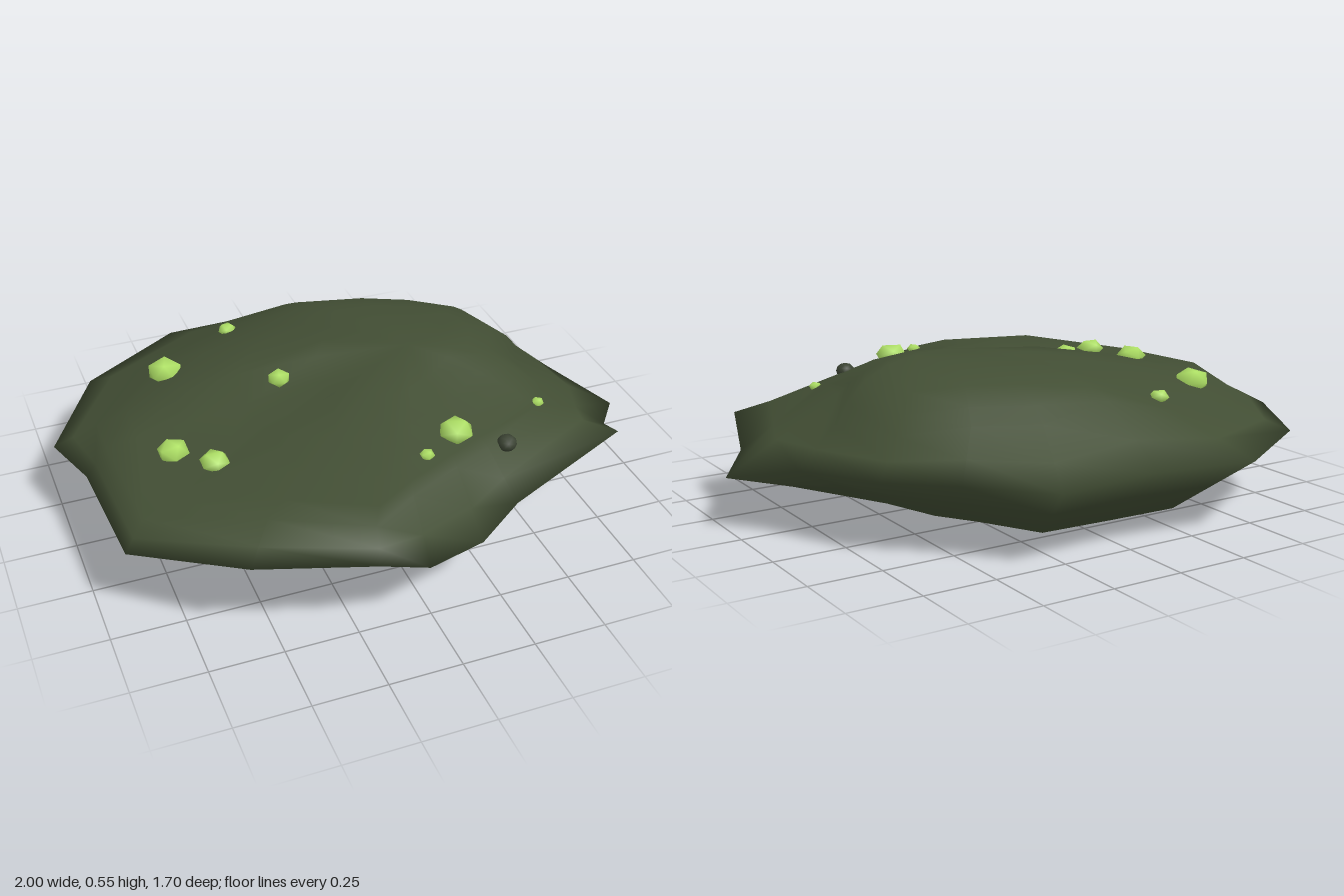
import * as THREE from 'three';
import { mergeVertices } from 'three/addons/utils/BufferGeometryUtils.js';

// Radial spokes of the rock:
// rim x, z, y | plateau edge scale, y | underside edge scale, y | shoulder sharpness
const SPOKES = [
  [1.0, 0.11, 0.18, 0.61, 0.42, 0.55, 0.06, 3],
  [0.88, 0.27, 0.22, 0.73, 0.4, 0.57, 0.05, 2.5],
  [0.83, 0.44, 0.31, 0.7, 0.395, 0.55, 0.05, 1.6],
  [0.37, 0.6, 0.24, 0.82, 0.41, 0.7, 0.04, 1],
  [0.2, 0.7, 0.2, 0.8, 0.415, 0.6, 0.03, 0.95],
  [-0.04, 0.82, 0.26, 0.8, 0.42, 0.47, 0.02, 0.95],
  [-0.22, 0.845, 0.34, 0.88, 0.41, 0.44, 0.02, 1],
  [-0.59, 0.72, 0.34, 0.84, 0.42, 0.5, 0.05, 1],
  [-0.91, 0.43, 0.27, 0.92, 0.365, 0.62, 0.045, 1],
  [-0.935, -0.01, 0.27, 0.92, 0.375, 0.66, 0.03, 0.65],
  [-1.0, -0.25, 0.25, 0.85, 0.33, 0.62, 0.04, 2.1],
  [-0.79, -0.62, 0.25, 0.8, 0.335, 0.7, 0.04, 2.3],
  [-0.42, -0.85, 0.25, 0.7, 0.38, 0.7, 0.045, 2.4],
  [-0.05, -0.815, 0.26, 0.71, 0.445, 0.72, 0.045, 4],
  [0.31, -0.82, 0.25, 0.7, 0.4, 0.7, 0.045, 4],
  [0.52, -0.59, 0.25, 0.81, 0.4, 0.65, 0.05, 4],
  [0.71, -0.42, 0.25, 0.88, 0.375, 0.6, 0.05, 3.5],
  [0.85, -0.13, 0.24, 0.83, 0.37, 0.6, 0.06, 4],
];

// Skins the rock ring by ring, from the crown over the rim to the underside
function rockGeometry() {
  const crown = new THREE.Vector3(0.22, 0.545, 0);
  const base = new THREE.Vector3(0, 0, 0.1);
  const columns = SPOKES.map(([x, z, y, t, ty, b, by, sharpness]) => {
    const rim = new THREE.Vector3(x, y, z);
    const top = new THREE.Vector3(x * t, ty, z * t);
    const under = new THREE.Vector3(x * b, by, z * b);
    const column = [0, 0.3, 0.55, 0.75, 0.9, 1].map((u) => {
      const p = crown.clone().lerp(top, u);
      p.y = THREE.MathUtils.lerp(crown.y, ty, u ** sharpness);
      return p;
    });
    column.push(top.clone().lerp(rim, 0.55), rim, rim.clone().lerp(under, 0.5), under);
    column.push(under.clone().lerp(base, 0.5), base);
    return column;
  });
  const rings = columns[0].length;
  const count = columns.length;
  const index = [];
  for (let i = 0; i < count; i++) {
    for (let r = 0; r < rings - 1; r++) {
      const a = i * rings + r;
      const b = ((i + 1) % count) * rings + r;
      if (r > 0) index.push(a, b, a + 1);
      if (r < rings - 2) index.push(b, b + 1, a + 1);
    }
  }
  let geometry = new THREE.BufferGeometry().setFromPoints(columns.flat());
  geometry.setIndex(index);
  geometry = mergeVertices(geometry, 1e-5);
  geometry.computeVertexNormals();
  return geometry;
}

// Coarse lump with softened shading
function lumpGeometry() {
  let geometry = new THREE.IcosahedronGeometry(1, 0);
  geometry.deleteAttribute('normal');
  geometry.deleteAttribute('uv');
  geometry = mergeVertices(geometry);
  geometry.computeVertexNormals();
  return geometry;
}

export function createModel() {
  const group = new THREE.Group();
  const material = (name, color) => {
    const m = new THREE.MeshStandardMaterial({ color });
    m.name = name;
    return m;
  };
  const mossy = material('mossy rock', 0x424e34);
  const lime = material('lime growth', 0xaee065);
  const dark = material('dark stone', 0x3a4232);

  const rock = new THREE.Mesh(rockGeometry(), mossy);
  rock.name = 'rock';
  group.add(rock);

  // Small flattened lumps resting on the surface
  const ray = new THREE.Raycaster();
  const down = new THREE.Vector3(0, -1, 0);
  const coarse = lumpGeometry();
  const round = new THREE.IcosahedronGeometry(1, 1);
  const addLump = (name, geometry, x, z, radius, flatness, mat) => {
    ray.set(new THREE.Vector3(x, 2, z), down);
    const surface = ray.intersectObject(rock)[0].point;
    const lump = new THREE.Mesh(geometry, mat);
    lump.name = name;
    lump.position.copy(surface);
    lump.position.y += radius * 0.15;
    lump.scale.set(radius, radius * flatness, radius);
    lump.rotation.y = x * 7 + z * 3;
    group.add(lump);
  };
  [
    [-0.565, -0.35, 0.066],
    [-0.28, -0.525, 0.035],
    [-0.24, -0.04, 0.042],
    [-0.665, 0.13, 0.056],
    [-0.56, 0.255, 0.052],
    [0.22, 0.415, 0.062],
    [0.08, 0.5, 0.026],
    [0.585, 0.295, 0.023],
  ].forEach(([x, z, r], i) => addLump(`growth${i + 1}`, coarse, x, z, r, 0.7, lime));
  addLump('pebble', round, 0.38, 0.475, 0.034, 0.85, dark);
  return group;
}
